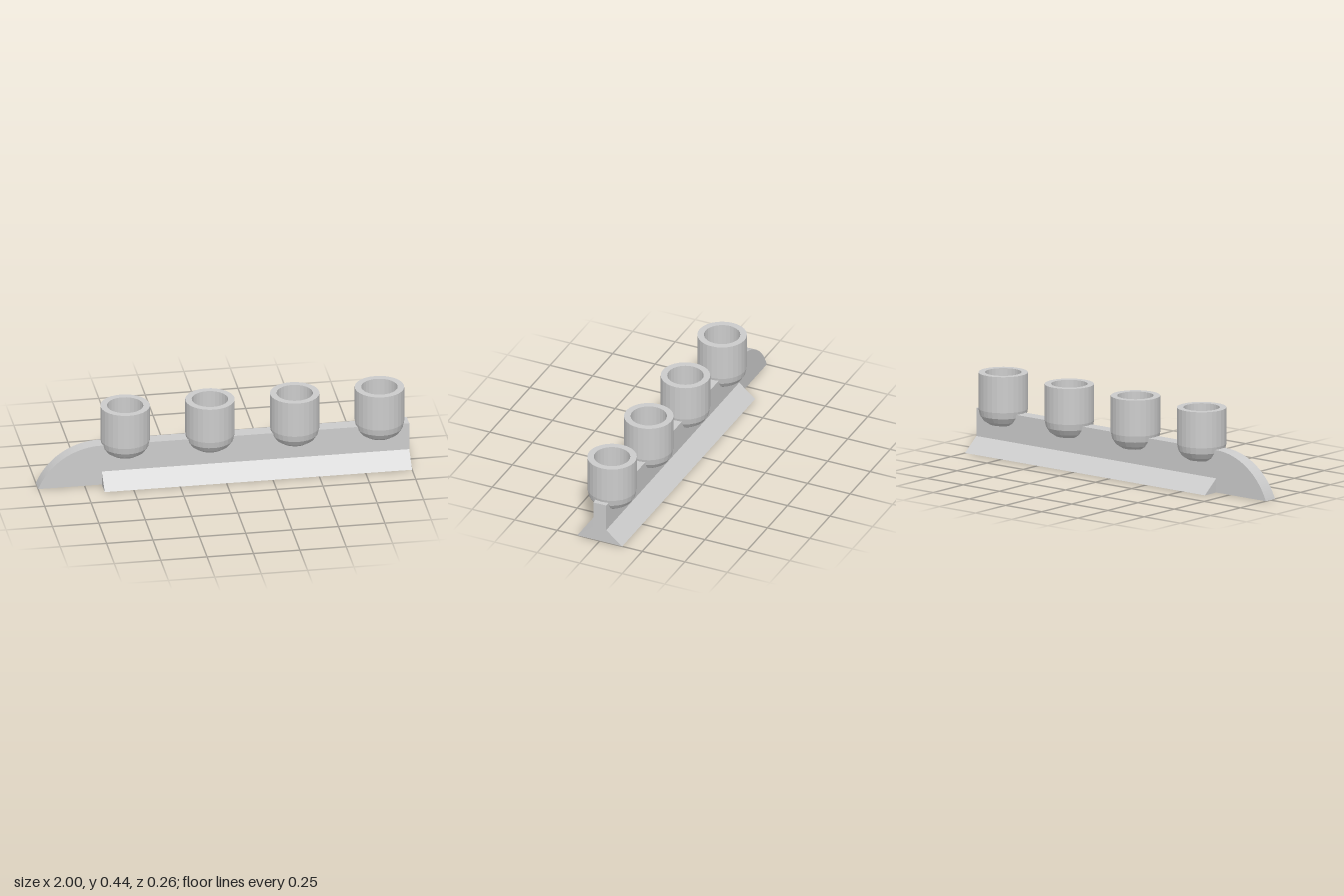
import * as THREE from 'three';

export function createModel() {
  const model = new THREE.Group();
  const mat = new THREE.MeshStandardMaterial({ color: 0xcccccc, flatShading: true });
  const add = (name, geometry) => {
    const mesh = new THREE.Mesh(geometry, mat);
    mesh.name = name;
    model.add(mesh);
    return mesh;
  };

  // Upright rail with a rounded nose at the -x end
  const half = 0.038, railTop = 0.23, noseEnd = -0.66;
  const run = noseEnd + 1;
  const r = (run * run + railTop * railTop) / (2 * railTop);
  const cy = railTop - r;
  const rail = new THREE.Shape();
  rail.moveTo(-1, 0);
  rail.lineTo(1, 0);
  rail.lineTo(1, railTop);
  rail.lineTo(noseEnd, railTop);
  rail.absarc(noseEnd, cy, r, Math.PI / 2, Math.atan2(-cy, -run), false);
  add('rail', new THREE.ExtrudeGeometry(rail, { depth: half * 2, bevelEnabled: false, curveSegments: 16 })
    .translate(0, 0, -half));

  // Sloping feet along both sides of the rail
  const footStart = -0.657, footWidth = 0.132, footHeight = 0.077;
  for (const side of [1, -1]) {
    const foot = new THREE.Shape([
      new THREE.Vector2(side * half, 0),
      new THREE.Vector2(side * footWidth, 0),
      new THREE.Vector2(side * half, footHeight),
    ]);
    const geo = new THREE.ExtrudeGeometry(foot, { depth: 1 - footStart, bevelEnabled: false });
    geo.rotateY(Math.PI / 2).translate(footStart, 0, 0);
    add(side > 0 ? 'backFoot' : 'frontFoot', geo);
  }

  // Hollow cups with rounded undersides
  const outer = 0.132, inner = 0.097, bottom = 0.154, fillet = 0.09, top = 0.44, floor = 0.245;
  const profile = [new THREE.Vector2(0, bottom)];
  for (let i = 0; i <= 4; i++) {
    const a = (i / 4) * Math.PI / 2;
    profile.push(new THREE.Vector2(
      outer - fillet + fillet * Math.sin(a),
      bottom + fillet * (1 - Math.cos(a))));
  }
  profile.push(
    new THREE.Vector2(outer, top),
    new THREE.Vector2(inner, top),
    new THREE.Vector2(inner, floor),
    new THREE.Vector2(0, floor));
  const cup = new THREE.LatheGeometry(profile, 28);
  for (let i = 0; i < 4; i++) add(`cup${i + 1}`, cup).position.x = -0.525 + i * 0.457;

  return model;
}
